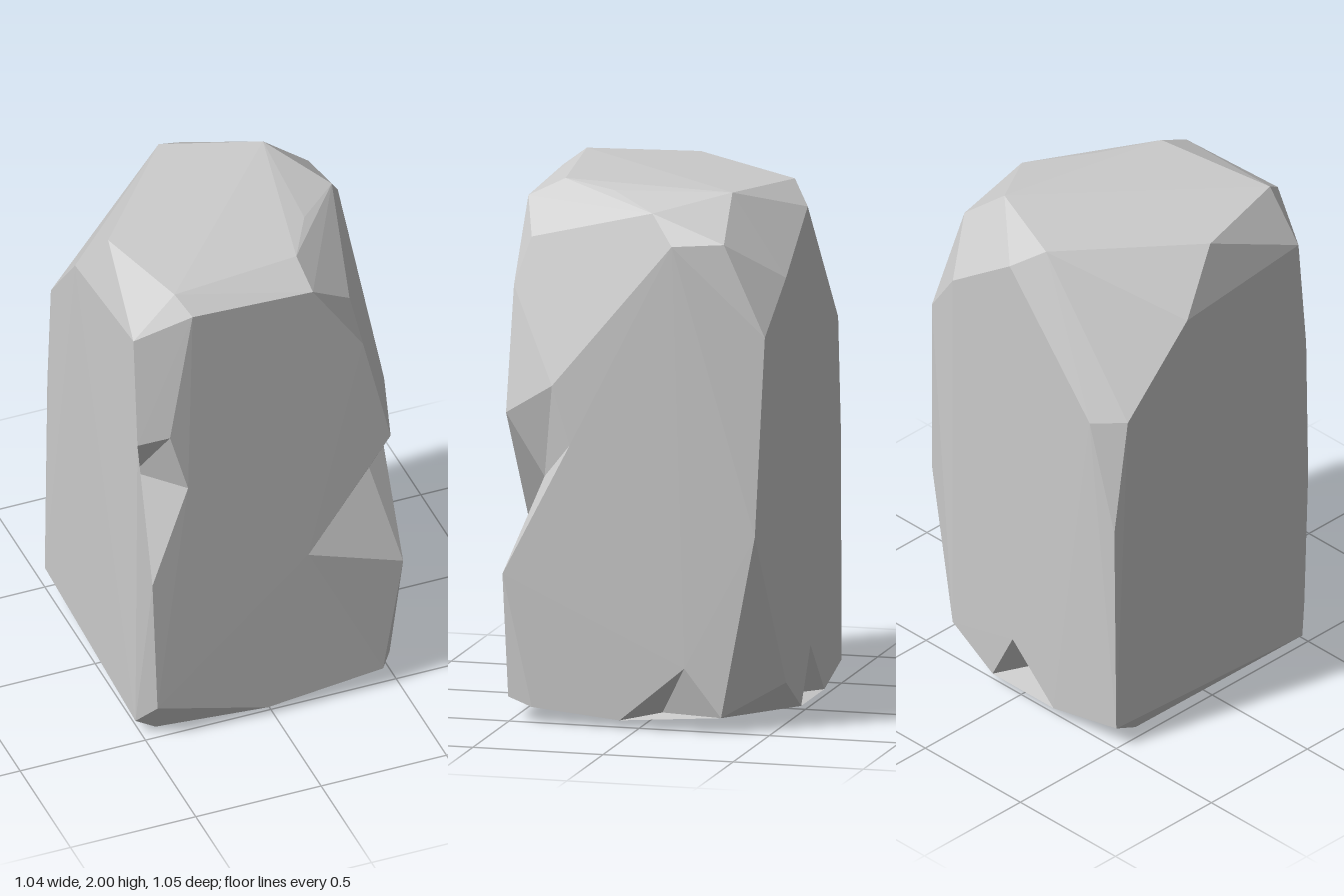
import * as THREE from 'three';
import { ConvexGeometry } from 'three/addons/geometries/ConvexGeometry.js';

const key = (p) => p.map((n) => Math.round(n * 1000)).join(',');

// Rim corners shared between the faceted block and its chips
const frontRight = {
  tip: [0.14, 0.70, 0.525], top: [0.47, 1.16, 0.52], low: [0.52, 0.56, 0.52],
  side: [0.525, 1.06, 0.26], shoulder: [0.52, 1.28, 0.33],
};
const frontLeft = {
  tip: [-0.34, 1.15, 0.525], top: [-0.41, 1.40, 0.52],
  low: [-0.48, 0.73, 0.52], side: [-0.52, 1.36, 0.47],
};
const sideFoot = { tip: [0.525, 0.24, -0.18], front: [0.52, 0.03, 0.07], back: [0.52, 0.06, -0.32] };
const backFoot = { tip: [0.02, 0.25, -0.525], a: [0.13, 0.04, -0.52], b: [-0.19, 0.04, -0.52] };

// Each chip is a rim on the surface and one point sunk into the stone
const chips = [
  { rim: frontRight, inner: [0.44, 0.92, 0.38] },
  { rim: frontLeft, inner: [-0.49, 1.15, 0.36] },
  { rim: sideFoot, inner: [0.43, 0.05, -0.07] },
  { rim: backFoot, inner: [0.05, 0.06, -0.41] },
];

// Top plateau
const crown = [
  [-0.36, 2.0, 0.44], [0.15, 1.99, 0.38], [0.27, 1.98, 0.16], [0.46, 1.94, -0.04],
  [0.29, 2.0, -0.30], [-0.07, 1.99, -0.44], [-0.46, 1.99, 0.03],
];

// Bevelled shoulders below the plateau
const shoulders = [
  [-0.32, 1.94, 0.52], [0.16, 1.92, 0.52], [0.33, 1.80, 0.46], [0.36, 1.62, 0.52],
  [0.52, 1.83, -0.13], [0.48, 1.84, -0.32], [0.34, 1.70, -0.52], [0.04, 1.91, -0.52],
  [-0.52, 1.76, -0.15], [-0.52, 1.82, 0.43],
];

// Corners along the upright edges at the back
const backEdges = [
  [0.49, 1.50, -0.48], [0.52, 0.75, -0.45],
  [-0.38, 1.41, -0.52], [-0.50, 1.43, -0.44], [-0.49, 0.96, -0.50],
];

// Bottom rim and underside
const foot = [
  [-0.46, 0.15, 0.52], [-0.02, 0.03, 0.52], [0.44, 0.08, 0.52], [0.51, 0.06, 0.41],
  [0.34, 0.17, -0.52], [-0.50, 0.09, -0.50], [-0.52, 0.06, 0.45],
  [-0.44, 0.01, 0.45], [-0.45, 0, -0.35], [0, 0, 0], [0.1, 0, -0.3],
];

// Replace the triangles lying wholly on a rim by a fan down to the inner point
function cutChip(triangles, { rim, inner }) {
  const keys = new Set(Object.values(rim).map(key));
  const onRim = (t) => t.every((p) => keys.has(key(p)));
  const edges = new Map();
  for (const t of triangles.filter(onRim)) {
    t.forEach((a, i) => {
      const b = t[(i + 1) % 3];
      const reverse = key(b) + '|' + key(a);
      if (edges.has(reverse)) edges.delete(reverse);
      else edges.set(key(a) + '|' + key(b), [a, b, inner]);
    });
  }
  return [...triangles.filter((t) => !onRim(t)), ...edges.values()];
}

export function createModel() {
  const corners = [...crown, ...shoulders, ...backEdges, ...foot];
  for (const { rim } of chips) corners.push(...Object.values(rim));

  // Faceted block
  const hull = new ConvexGeometry(corners.map((c) => new THREE.Vector3(...c)));
  const pos = hull.getAttribute('position');
  let triangles = [];
  for (let i = 0; i < pos.count; i += 3) {
    triangles.push([0, 1, 2].map((k) => [pos.getX(i + k), pos.getY(i + k), pos.getZ(i + k)]));
  }

  // Chips knocked out of its edges
  for (const chip of chips) triangles = cutChip(triangles, chip);

  const geometry = new THREE.BufferGeometry();
  geometry.setAttribute('position', new THREE.Float32BufferAttribute(triangles.flat(2), 3));
  geometry.computeVertexNormals();

  const rock = new THREE.Mesh(
    geometry,
    new THREE.MeshStandardMaterial({ color: 0xcccccc, flatShading: true }),
  );
  rock.name = 'rock';

  const group = new THREE.Group();
  group.name = 'standingRock';
  group.add(rock);
  return group;
}
